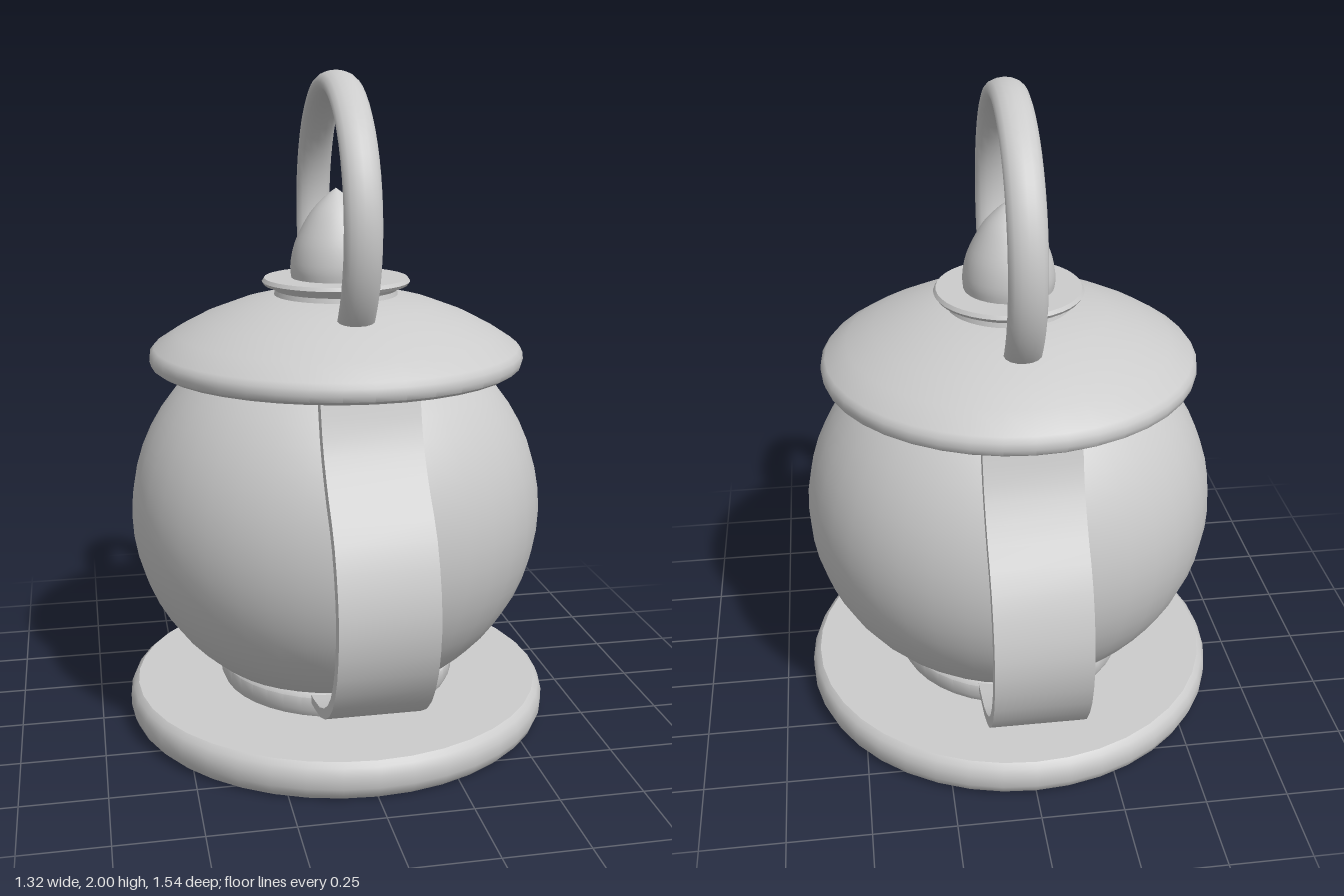
import * as THREE from 'three';
import { toCreasedNormals } from 'three/addons/utils/BufferGeometryUtils.js';

export function createModel() {
  const lantern = new THREE.Group();
  lantern.name = 'lantern';
  const material = new THREE.MeshStandardMaterial({ color: 0xcccccc });

  const add = (name, geometry) => {
    const mesh = new THREE.Mesh(geometry, material);
    mesh.name = name;
    lantern.add(mesh);
    return mesh;
  };
  const points = (list) => list.map(([x, y]) => new THREE.Vector2(x, y));
  // Turned part from [radius, height] pairs, listed bottom to top
  const turned = (name, profile) =>
    add(name, toCreasedNormals(new THREE.LatheGeometry(points(profile), 40), 0.7));

  // Round foot plate with softened rim
  turned('base', [
    [0, 0], [0.635, 0], [0.65, 0.015], [0.66, 0.04], [0.66, 0.075],
    [0.65, 0.1], [0.635, 0.113], [0, 0.113],
  ]);

  // Collar that seats the globe
  turned('collar', [
    [0.3, 0.1], [0.36, 0.113], [0.37, 0.135], [0.37, 0.175], [0.36, 0.187], [0.3, 0.187],
  ]);

  // Globe, a little narrower front to back
  const globe = add('globe', new THREE.SphereGeometry(1, 40, 28));
  globe.scale.set(0.637, 0.605, 0.587);
  globe.position.y = 0.67;

  // Domed lid with rolled rim and a small flange on top
  turned('lid', [
    [0, 1.123], [0.55, 1.123], [0.565, 1.133], [0.57, 1.15], [0.568, 1.17],
    [0.556, 1.185], [0.49, 1.228], [0.41, 1.27], [0.3, 1.312], [0.2, 1.337], [0, 1.345],
  ]);
  turned('flange', [
    [0.19, 1.33], [0.185, 1.352], [0.195, 1.365], [0.218, 1.368],
    [0.225, 1.378], [0.218, 1.389], [0, 1.389],
  ]);

  // Pointed knob
  const knobCurve = new THREE.SplineCurve(points([
    [0.135, 1.385], [0.138, 1.43], [0.122, 1.5], [0.08, 1.58], [0.035, 1.63], [0, 1.657],
  ]));
  add('knob', new THREE.LatheGeometry(knobCurve.getPoints(18), 32));

  // Carrying ring, flattened oval in section, its ends sunk in the lid
  const arc = Math.PI * 1.64;
  const ring = new THREE.TorusGeometry(0.4, 0.034, 16, 44, arc);
  ring.rotateZ(Math.PI / 2 - arc / 2);
  ring.rotateY(Math.PI / 2);
  ring.scale(1.62, 1, 1);
  add('carryingRing', ring).position.y = 1.566;

  // Curved guard straps, front and back: a thin outline extruded across x
  const path = new THREE.SplineCurve(points([
    [0.47, 1.18], [0.488, 1.11], [0.525, 1.0], [0.595, 0.89], [0.685, 0.78],
    [0.738, 0.65], [0.75, 0.53], [0.72, 0.4], [0.64, 0.285], [0.5, 0.205], [0.33, 0.17],
  ]));
  const steps = 22;
  const outer = [], inner = [];
  for (let i = 0; i <= steps; i++) {
    const t = i / steps;
    const p = path.getPoint(t);
    const d = path.getTangent(t);
    const half = 0.021 - 0.009 * Math.max(0, t - 0.6) / 0.4;
    const n = new THREE.Vector2(-d.y, d.x).multiplyScalar(half);
    outer.push(p.clone().add(n));
    inner.unshift(p.clone().sub(n));
  }
  const strap = new THREE.ExtrudeGeometry(new THREE.Shape([...outer, ...inner]), {
    depth: 0.28, bevelEnabled: false,
  });
  strap.translate(0, 0, -0.14);
  strap.rotateY(-Math.PI / 2);
  const strapGeometry = toCreasedNormals(strap, 0.7);
  add('frontStrap', strapGeometry);
  add('backStrap', strapGeometry).rotation.y = Math.PI;

  return lantern;
}
